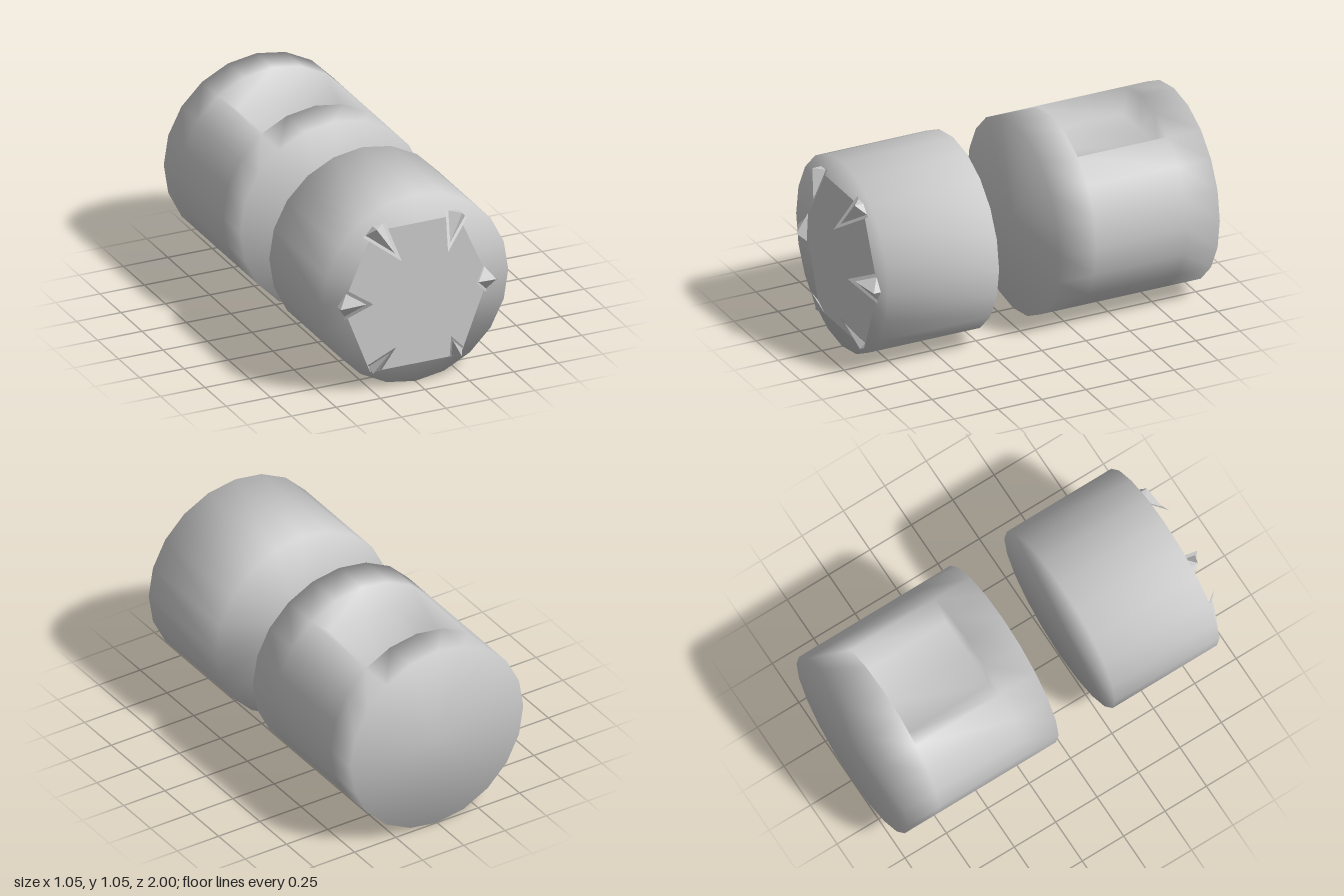
import * as THREE from 'three';
import { mergeVertices } from 'three/addons/utils/BufferGeometryUtils.js';
import { ConvexGeometry } from 'three/addons/geometries/ConvexGeometry.js';

const R = 0.523, SIDES = 20, FACE_Z = 0.885;

const grey = (options = {}) => new THREE.MeshStandardMaterial({ color: 0xcccccc, ...options });

function addMesh(parent, name, geometry, material) {
  const mesh = new THREE.Mesh(geometry, material);
  mesh.name = name;
  parent.add(mesh);
}

// 20-sided cross-section; the notched one has a sunken, flat-bottomed top
function ring(z, notched = false) {
  const points = [];
  for (let k = 0; k < SIDES; k++) {
    const t = (k / SIDES) * Math.PI * 2;
    points.push(new THREE.Vector3(R * Math.cos(t), R + R * Math.sin(t), z));
  }
  if (notched) {
    [0.2, 0, -0.2].forEach((x, i) => points[4 + i].set(x, 0.85, z));
  }
  return points;
}

// Closed smooth skin through rings ordered from front to back
function loft(rings) {
  const positions = [], index = [];
  const push = (p) => positions.push(p.x, p.y, p.z);
  rings.forEach((r) => r.forEach(push));
  const last = rings.length - 1;
  const front = rings.length * SIDES, back = front + 1;
  push(new THREE.Vector3(0, R, rings[0][0].z));
  push(new THREE.Vector3(0, R, rings[last][0].z));
  for (let k = 0; k < SIDES; k++) {
    const n = (k + 1) % SIDES;
    for (let i = 0; i < last; i++) {
      const a = i * SIDES + k, b = i * SIDES + n;
      const d = a + SIDES, c = b + SIDES;
      index.push(a, d, b, b, d, c);
    }
    index.push(front, k, n, back, last * SIDES + n, last * SIDES + k);
  }
  const geometry = new THREE.BufferGeometry();
  geometry.setAttribute('position', new THREE.Float32BufferAttribute(positions, 3));
  geometry.setIndex(index);
  const merged = mergeVertices(geometry, 1e-4);
  merged.computeVertexNormals();
  return merged;
}

// Claw: a thin triangular plate with a raised wedge along its outer side
function claw(name, side, { tip, a, b, crest, crestZ }) {
  const group = new THREE.Group();
  group.name = name;
  const v = ([x, y], z) => new THREE.Vector3(side * x, y, z);
  const plate = [v(tip, tip[2]), v(a, FACE_Z), v(b, FACE_Z)];
  const plateGeometry = new THREE.BufferGeometry().setFromPoints(plate);
  plateGeometry.computeVertexNormals();
  addMesh(group, 'clawPlate', plateGeometry, grey({ side: THREE.DoubleSide, flatShading: true }));

  const centre = plate[1].clone().add(plate[2]).multiplyScalar(0.5);
  const inner = plate.map((p) => p.clone().lerp(centre, 0.25));
  const wedge = new ConvexGeometry([...inner, v(crest, FACE_Z), v(crest, crestZ)]);
  addMesh(group, 'clawWedge', wedge, grey({ flatShading: true }));
  return group;
}

export function createModel() {
  const model = new THREE.Group();
  model.name = 'splitBarrel';

  // Two barrel halves with a gap between them
  addMesh(model, 'frontBarrel', loft([ring(FACE_Z), ring(0.255)]), grey());
  addMesh(model, 'rearBarrel', loft([
    ring(-0.087), ring(-0.3), ring(-0.3, true),
    ring(-0.81, true), ring(-0.81), ring(-1),
  ]), grey());

  // Flat hexagonal plate on the front
  const hexagon = [[0.24, 0.885], [-0.24, 0.885], [-0.41, 0.5], [-0.255, 0.1], [0.255, 0.1], [0.41, 0.5]];
  const plate = new THREE.ShapeGeometry(new THREE.Shape(hexagon.map(([x, y]) => new THREE.Vector2(x, y))));
  plate.translate(0, 0, FACE_Z + 0.002);
  addMesh(model, 'frontPlate', plate, grey());

  // Claws on the corners of the plate, mirrored left and right
  const claws = {
    upper: { tip: [0.13, 0.745, 1], a: [0.17, 0.927], b: [0.295, 0.862], crest: [0.24, 0.915], crestZ: 0.935 },
    middle: { tip: [0.29, 0.535, 1], a: [0.388, 0.585], b: [0.4, 0.418], crest: [0.438, 0.5], crestZ: 0.925 },
    lower: { tip: [0.155, 0.262, 0.985], a: [0.272, 0.138], b: [0.193, 0.095], crest: [0.25, 0.1], crestZ: 0.91 },
  };
  for (const [name, spec] of Object.entries(claws)) {
    model.add(claw(`${name}LeftClaw`, 1, spec), claw(`${name}RightClaw`, -1, spec));
  }
  return model;
}
